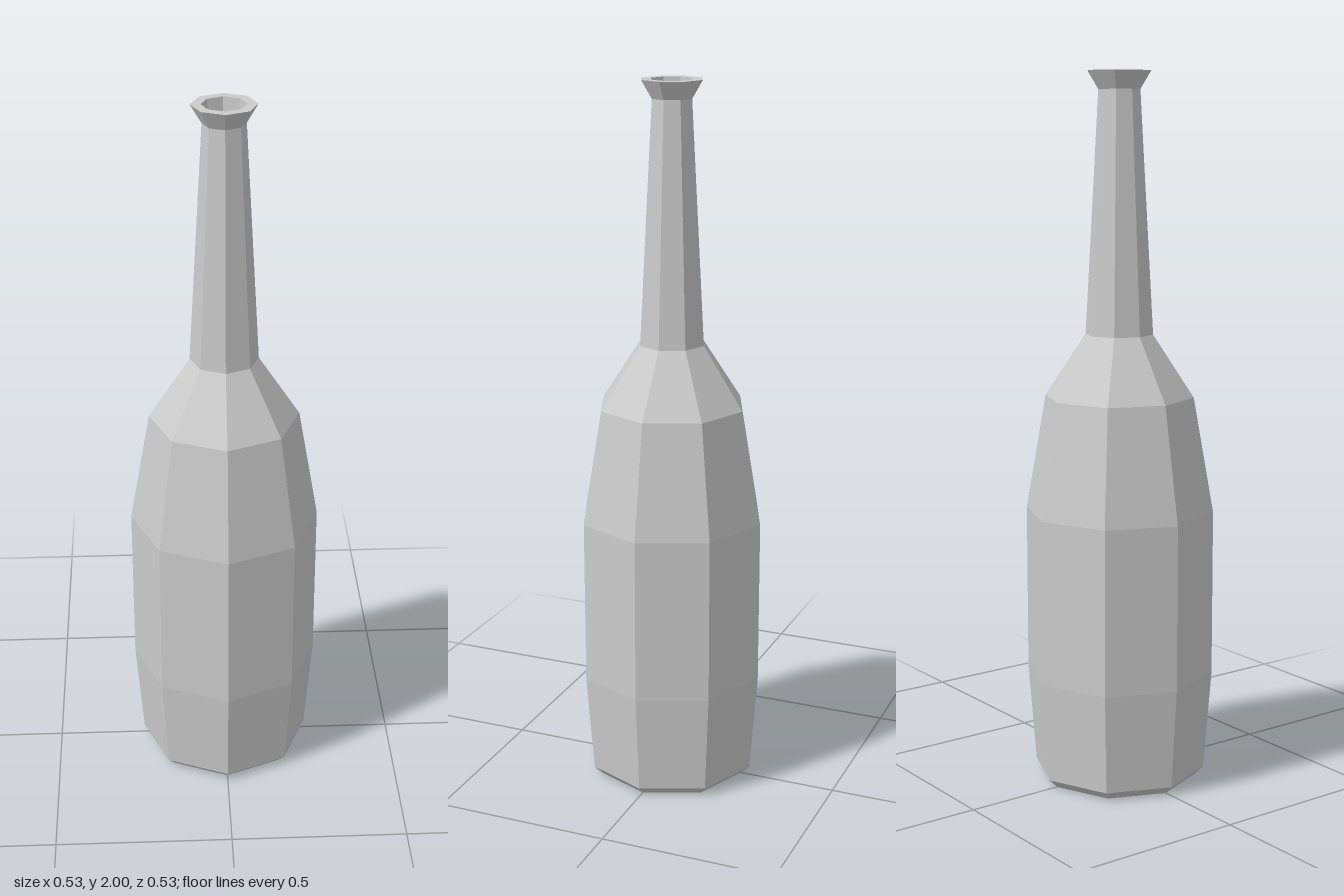
import * as THREE from 'three';

const SIDES = 8;

export function createModel() {
  const group = new THREE.Group();
  group.name = 'bottle';
  const material = new THREE.MeshStandardMaterial({ color: 0xcccccc, flatShading: true });

  // Turned part from [radius, height] pairs; upward profiles face outward
  const turn = (name, profile) => {
    const points = profile.map(([r, y]) => new THREE.Vector2(r, y));
    const mesh = new THREE.Mesh(new THREE.LatheGeometry(points, SIDES), material);
    mesh.name = name;
    group.add(mesh);
  };

  // Closed base, belly and shoulder
  turn('body', [[0, 0], [0.22, 0], [0.245, 0.025], [0.267, 0.31], [0.267, 0.78], [0.21, 1.105], [0.095, 1.28]]);
  // Long tapering neck
  turn('neck', [[0.095, 1.28], [0.058, 1.95]]);
  // Flared lip with flat rim
  turn('lip', [[0.058, 1.95], [0.088, 2], [0.06, 2]]);
  // Hollow mouth inside the neck
  turn('mouth', [[0.06, 2], [0.05, 1.85], [0, 1.85]]);

  return group;
}
